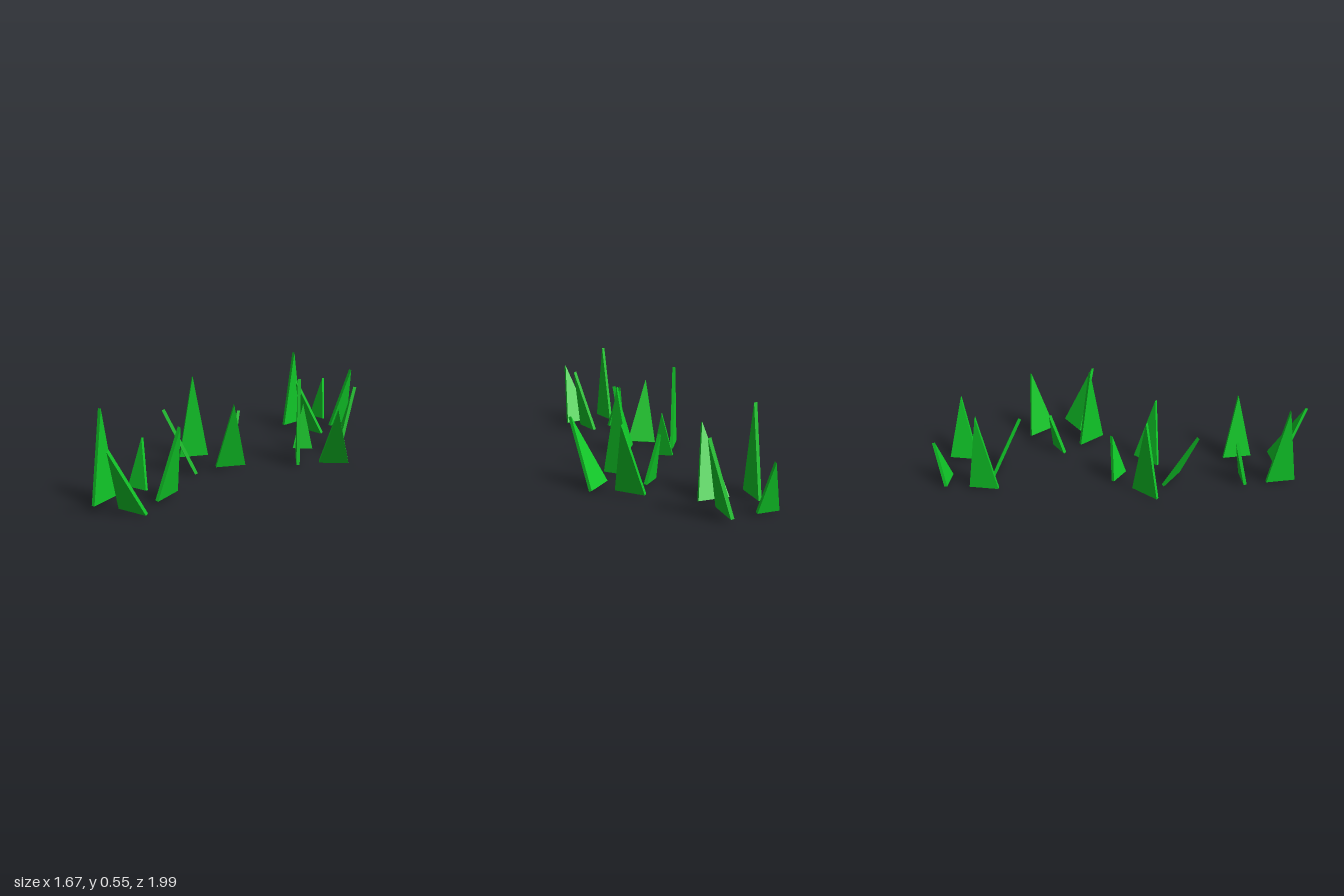
import * as THREE from 'three';

const THICK = 0.02;
const material = new THREE.MeshStandardMaterial({ color: 0x10c828, flatShading: true });

// Blade kinds: base width, length, lean, turn within the tuft (degrees) and base height
const BLADES = {
  bigBlade: { width: 0.19, length: 0.44, lean: 24.5, turn: 0, y: 0.008 },
  mediumBlade: { width: 0.19, length: 0.435, lean: 13, turn: 90, y: 0.025 },
  smallBlade: { width: 0.132, length: 0.303, lean: 11.5, turn: 180, y: 0.014 },
  uprightBlade: { width: 0.19, length: 0.54, lean: 0, turn: 90, y: 0.01 },
};

// Tufts: yaw in degrees and the [x, z] foot of each blade
const TUFTS = [
  { yaw: -47.5, bigBlade: [0.556, -0.632], mediumBlade: [0.749, -0.76], smallBlade: [0.616, -0.945], uprightBlade: [0.411, -0.819] },
  { yaw: -3, bigBlade: [0.611, 0.05], mediumBlade: [0.66, -0.172], smallBlade: [0.434, -0.185], uprightBlade: [0.368, 0.038] },
  { yaw: -77, bigBlade: [-0.283, 0.167], mediumBlade: [-0.061, 0.151], smallBlade: [-0.071, -0.08], uprightBlade: [-0.302, -0.075] },
  { yaw: -32, bigBlade: [-0.593, 0.817], mediumBlade: [-0.434, 0.648], smallBlade: [-0.611, 0.521], uprightBlade: [-0.783, 0.683] },
];

// Thin triangular slab, hinged on the back edge of its foot and leaning towards +z
function bladeGeometry({ width, length, lean }) {
  const shape = new THREE.Shape([
    new THREE.Vector2(-width / 2, 0),
    new THREE.Vector2(width / 2, 0),
    new THREE.Vector2(0, length),
  ]);
  const geometry = new THREE.ExtrudeGeometry(shape, { depth: THICK, bevelEnabled: false });
  return geometry.rotateX(THREE.MathUtils.degToRad(lean));
}

export function createModel() {
  const model = new THREE.Group();
  model.name = 'grassTufts';
  const tufts = TUFTS.map((_, i) => {
    const tuft = new THREE.Group();
    tuft.name = `grassTuft${i + 1}`;
    model.add(tuft);
    return tuft;
  });

  for (const [name, kind] of Object.entries(BLADES)) {
    const geometry = bladeGeometry(kind);
    TUFTS.forEach((spec, i) => {
      const blade = new THREE.Mesh(geometry, material);
      blade.name = name;
      const [x, z] = spec[name];
      blade.position.set(x, kind.y, z);
      blade.rotation.y = THREE.MathUtils.degToRad(spec.yaw + kind.turn);
      tufts[i].add(blade);
    });
  }
  return model;
}
